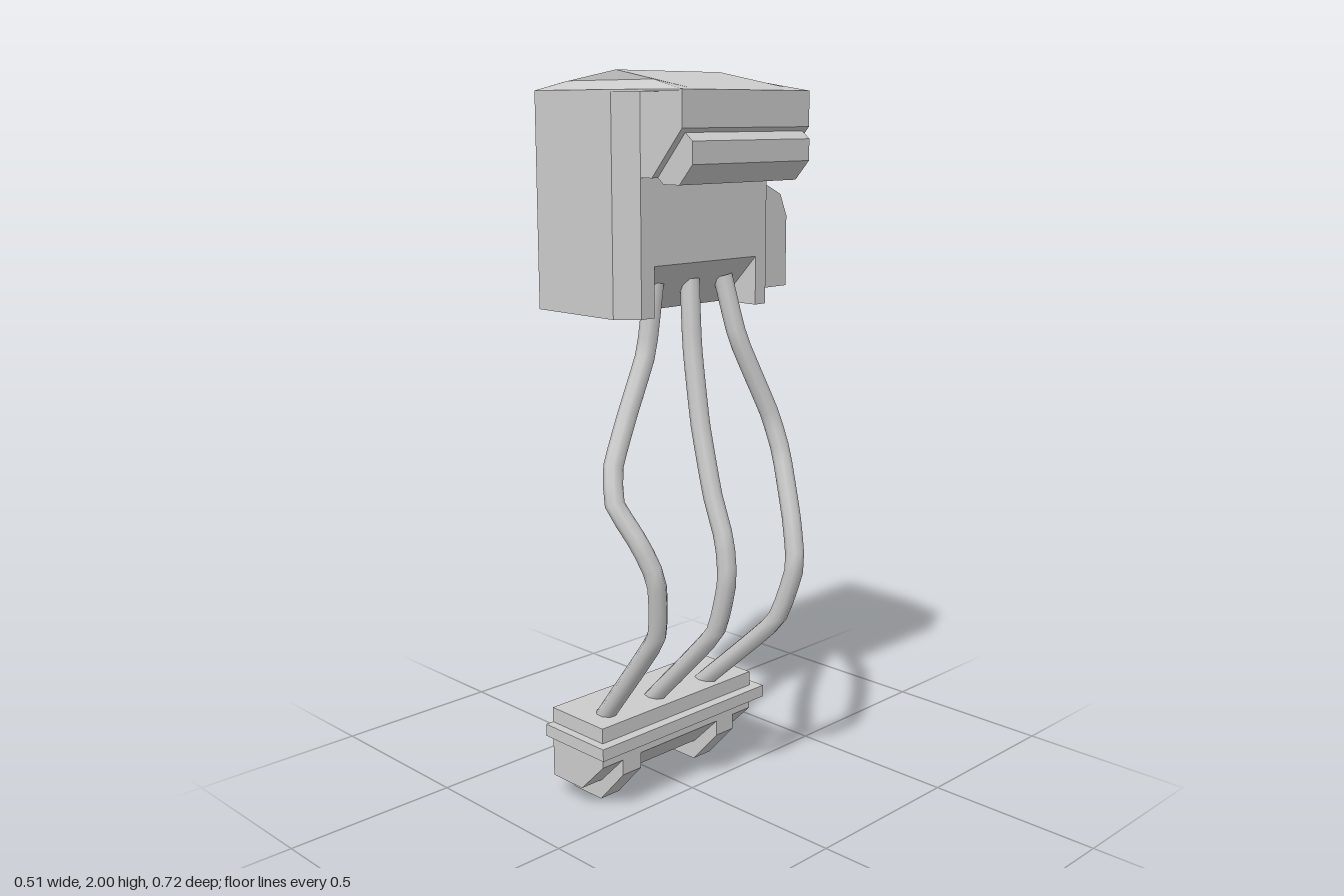
import * as THREE from 'three';
import { ConvexGeometry } from 'three/addons/geometries/ConvexGeometry.js';

const grey = new THREE.MeshStandardMaterial({ color: 0xcccccc });
const flatGrey = new THREE.MeshStandardMaterial({ color: 0xcccccc, flatShading: true });
const toShape = (pts) => new THREE.Shape(pts.map(([a, b]) => new THREE.Vector2(a, b)));

function part(parent, name, geometry, material = flatGrey) {
  const mesh = new THREE.Mesh(geometry, material);
  mesh.name = name;
  parent.add(mesh);
  return mesh;
}

// side profile (x, y) extruded from z0 to z1
function alongZ(pts, z0, z1) {
  return new THREE.ExtrudeGeometry(toShape(pts), { depth: z1 - z0, bevelEnabled: false }).translate(0, 0, z0);
}

// plan outline (x, z) extruded from y0 to y1
function alongY(pts, y0, y1) {
  return new THREE.ExtrudeGeometry(toShape(pts.map(([x, z]) => [x, -z])), { depth: y1 - y0, bevelEnabled: false })
    .rotateX(-Math.PI / 2).translate(0, y0, 0);
}

function boxBetween(x0, x1, y0, y1, z0, z1) {
  return new THREE.BoxGeometry(x1 - x0, y1 - y0, z1 - z0)
    .translate((x0 + x1) / 2, (y0 + y1) / 2, (z0 + z1) / 2);
}

function buildHousing() {
  const housing = new THREE.Group();
  housing.name = 'housing';

  // middle section: gabled roof above, sloped wire recess below
  part(housing, 'housingCore', alongZ([
    [-0.26, 1.39], [-0.045, 1.39], [0.08, 1.52], [0.08, 1.95],
    [0.225, 1.95], [-0.055, 2], [-0.26, 1.972],
  ], -0.16, 0.215));

  // two side sections with a chamfered front corner and a sloping roof edge
  for (const [inner, corner, outer, name] of [[0.215, 0.26, 0.31, 'left'], [-0.16, -0.2, -0.25, 'right']]) {
    const plan = [[-0.26, inner], [0.08, inner], [0.08, corner], [0.03, outer], [-0.26, outer]];
    if (outer > 0) plan.reverse();
    part(housing, name + 'HousingSide', alongY(plan, 1.39, 1.95));
    part(housing, name + 'RoofEdge', new ConvexGeometry([
      [-0.26, 1.972, inner], [-0.24, 1.975, inner], [0.08, 1.975, inner], [0.225, 1.95, inner],
      [-0.26, 1.95, outer], [0.03, 1.95, outer], [0.08, 1.95, corner], [0.225, 1.95, corner],
      [-0.26, 1.945, inner], [0.225, 1.945, inner], [-0.26, 1.945, outer],
      [0.03, 1.945, outer], [0.08, 1.945, corner], [0.225, 1.945, corner],
    ].map((p) => new THREE.Vector3(...p))));
  }

  // front overhang with the latch bar beneath it
  part(housing, 'overhang', alongZ([
    [0.07, 1.74], [0.12, 1.74], [0.225, 1.86], [0.225, 1.95], [0.07, 1.95],
  ], -0.2, 0.26));
  part(housing, 'latchBar', alongZ([
    [0.115, 1.745], [0.14, 1.725], [0.195, 1.725], [0.24, 1.775], [0.24, 1.83], [0.215, 1.85],
  ], -0.185, 0.24));

  // rounded-top box on the right side, profile in (z, y) turned to run along x
  const sideBox = new THREE.ExtrudeGeometry(toShape([
    [0.24, 1.42], [0.362, 1.42], [0.362, 1.615], [0.336, 1.675], [0.283, 1.7], [0.24, 1.7],
  ]), { depth: 0.245, bevelEnabled: false }).rotateY(Math.PI / 2).translate(-0.235, 0, 0);
  part(housing, 'sideBox', sideBox);
  return housing;
}

function buildPlug() {
  const plug = new THREE.Group();
  plug.name = 'plug';
  part(plug, 'plugBody', alongZ([
    [-0.25, 0.06], [-0.13, 0.06], [-0.04, 0.15], [-0.04, 0.265], [-0.25, 0.265],
  ], -0.283, 0.305));
  part(plug, 'plugFlange', boxBetween(-0.25, -0.01, 0.187, 0.222, -0.31, 0.33));
  // two chamfered feet
  for (const z of [-0.21, 0.163]) {
    part(plug, 'plugFoot', alongZ([
      [-0.25, 0], [-0.135, 0], [-0.04, 0.105], [-0.04, 0.17], [-0.25, 0.17],
    ], z, z + 0.068));
  }
  return plug;
}

// bent wires running from the recess to the plug
const wirePaths = {
  leftWire: [
    [0.01, 1.47, 0.15], [0.005, 1.29, 0.175], [0.01, 1.13, 0.25], [0.025, 1.01, 0.312], [0.055, 0.92, 0.335],
    [0.115, 0.82, 0.305], [0.145, 0.72, 0.275], [0.11, 0.55, 0.245], [-0.125, 0.25, 0.225],
  ],
  middleWire: [
    [0.015, 1.47, 0.025], [0.035, 1.29, 0.035], [0.075, 1.09, 0.045], [0.13, 0.91, 0.055],
    [0.175, 0.79, 0.055], [0.185, 0.68, 0.055], [0.135, 0.52, 0.05], [-0.125, 0.25, 0.04],
  ],
  rightWire: [
    [0.02, 1.47, -0.095], [0.055, 1.3, -0.12], [0.1, 1.09, -0.2], [0.135, 0.98, -0.212],
    [0.2, 0.81, -0.185], [0.228, 0.68, -0.17], [0.165, 0.51, -0.163], [-0.115, 0.25, -0.155],
  ],
};

export function createModel() {
  const model = new THREE.Group();
  model.name = 'wiredConnector';
  model.add(buildHousing(), buildPlug());
  for (const [name, pts] of Object.entries(wirePaths)) {
    // straight runs between the bends
    const path = new THREE.CurvePath();
    const v = pts.map((p) => new THREE.Vector3(...p));
    const curve = new THREE.CatmullRomCurve3(v, false, 'catmullrom', 0.2);
    part(model, name, new THREE.TubeGeometry(curve, 28, 0.026, 8), grey);
  }
  return model;
}
